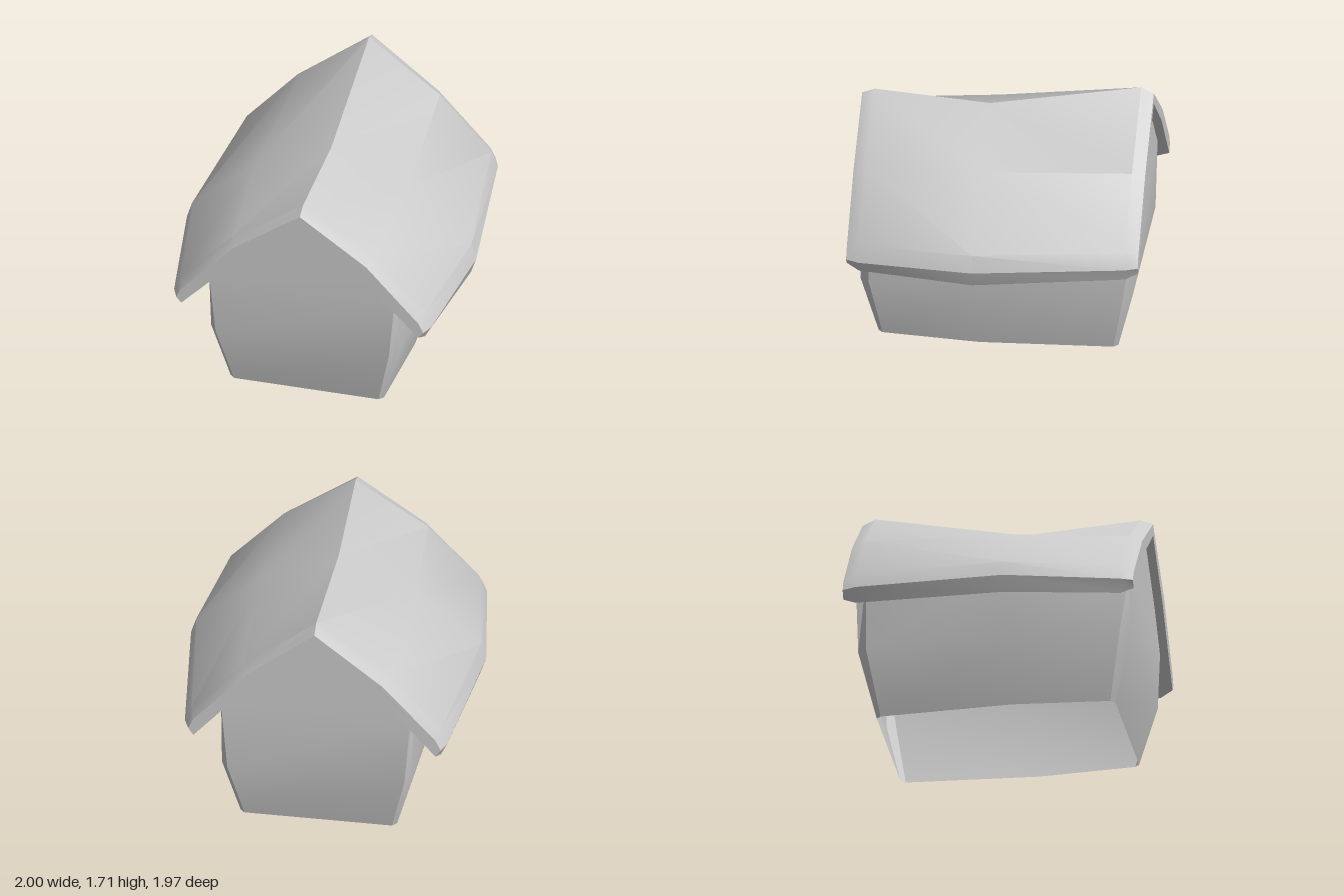
import * as THREE from 'three';
import { toCreasedNormals } from 'three/addons/utils/BufferGeometryUtils.js';

// Turns convex polygons (lists of [x, y, z]) into a mesh with smooth panels and sharp edges
function polyMesh(name, polys, side) {
  const pos = [];
  for (const p of polys)
    for (let i = 1; i < p.length - 1; i++) pos.push(...p[0], ...p[i], ...p[i + 1]);
  let geo = new THREE.BufferGeometry();
  geo.setAttribute('position', new THREE.Float32BufferAttribute(pos, 3));
  geo = toCreasedNormals(geo, 0.5);
  const mesh = new THREE.Mesh(geo, new THREE.MeshStandardMaterial({ color: 0xcccccc, side }));
  mesh.name = name;
  return mesh;
}

// Quads between consecutive closed rings of equal length
function skin(rings) {
  const polys = [];
  for (let s = 0; s < rings.length - 1; s++) {
    const a = rings[s], b = rings[s + 1], n = a.length;
    for (let i = 0; i < n; i++) {
      const j = (i + 1) % n;
      polys.push([a[i], a[j], b[j], b[i]]);
    }
  }
  return polys;
}

const flip = ([x, y, z]) => [-x, y, z];

// Walls: flared, bevelled corners, bulging sides, open below
function createWalls() {
  // one level: face edge, corner bevel, bulged middle, back bevel, back face edge
  const ring = (y, [fx, fz], [cx, cz], mx, yMid = y, yBack = y) => {
    const half = [[fx, y, fz], [cx, y, cz], [mx, yMid, 0.12], [cx, yBack, -cz], [fx, yBack, -fz]];
    return [...half, ...half.map(flip).reverse()];
  };
  const top = ring(0.9, [0.64, 0.93], [0.65, 0.86], 0.72, 0.93, 0.97);
  const polys = skin([
    ring(0, [0.5, 0.81], [0.53, 0.78], 0.58),
    ring(0.45, [0.6, 0.92], [0.645, 0.86], 0.71),
    top,
  ]);
  // gables above the front and back faces
  polys.push([top[9], top[0], [0.4, 1.15, 0.93], [0, 1.46, 0.93], [-0.4, 1.15, 0.93]]);
  polys.push([top[4], top[5], [-0.4, 1.24, -0.93], [0, 1.6, -0.93], [0.4, 1.24, -0.93]]);
  return polyMesh('walls', polys, THREE.DoubleSide);
}

// Roof: thick bent slab with sagging ridge, swollen middle and bevelled rims
function createRoof() {
  // half profile: ridge, bend, eave crease, eave edge, eave bottom, inner bend, inner ridge
  const sections = [
    [0.985, [[0, 1.535], [0.46, 1.2], [0.82, 0.8], [0.855, 0.73], [0.82, 0.685], [0.41, 1.12], [0, 1.45]]],
    [0.9, [[0, 1.57], [0.49, 1.23], [0.845, 0.84], [0.89, 0.73], [0.845, 0.645], [0.4, 1.1], [0, 1.42]]],
    [0.12, [[0, 1.515], [0.53, 1.28], [0.965, 0.88], [1, 0.765], [0.965, 0.655], [0.48, 1.1], [0, 1.37]]],
    [-0.9, [[0, 1.71], [0.49, 1.32], [0.845, 0.91], [0.89, 0.8], [0.845, 0.705], [0.4, 1.19], [0, 1.56]]],
    [-0.985, [[0, 1.67], [0.46, 1.29], [0.82, 0.88], [0.855, 0.8], [0.82, 0.745], [0.41, 1.23], [0, 1.59]]],
  ];
  const rings = sections.map(([z, pts]) => {
    const half = pts.map(([x, y]) => [x, y, z]);
    return [...half, ...half.slice(1, 6).reverse().map(flip)];
  });
  const polys = skin(rings);
  // end faces
  const cap = [[0, 6, 5, 1], [1, 5, 4, 2], [2, 4, 3], [0, 11, 7, 6], [11, 10, 8, 7], [10, 9, 8]];
  for (const f of cap) {
    polys.push(f.map((i) => rings[0][i]));
    polys.push(f.map((i) => rings[4][i]).reverse());
  }
  return polyMesh('roof', polys, THREE.FrontSide);
}

export function createModel() {
  const house = new THREE.Group();
  house.name = 'house';
  house.add(createWalls(), createRoof());
  return house;
}
